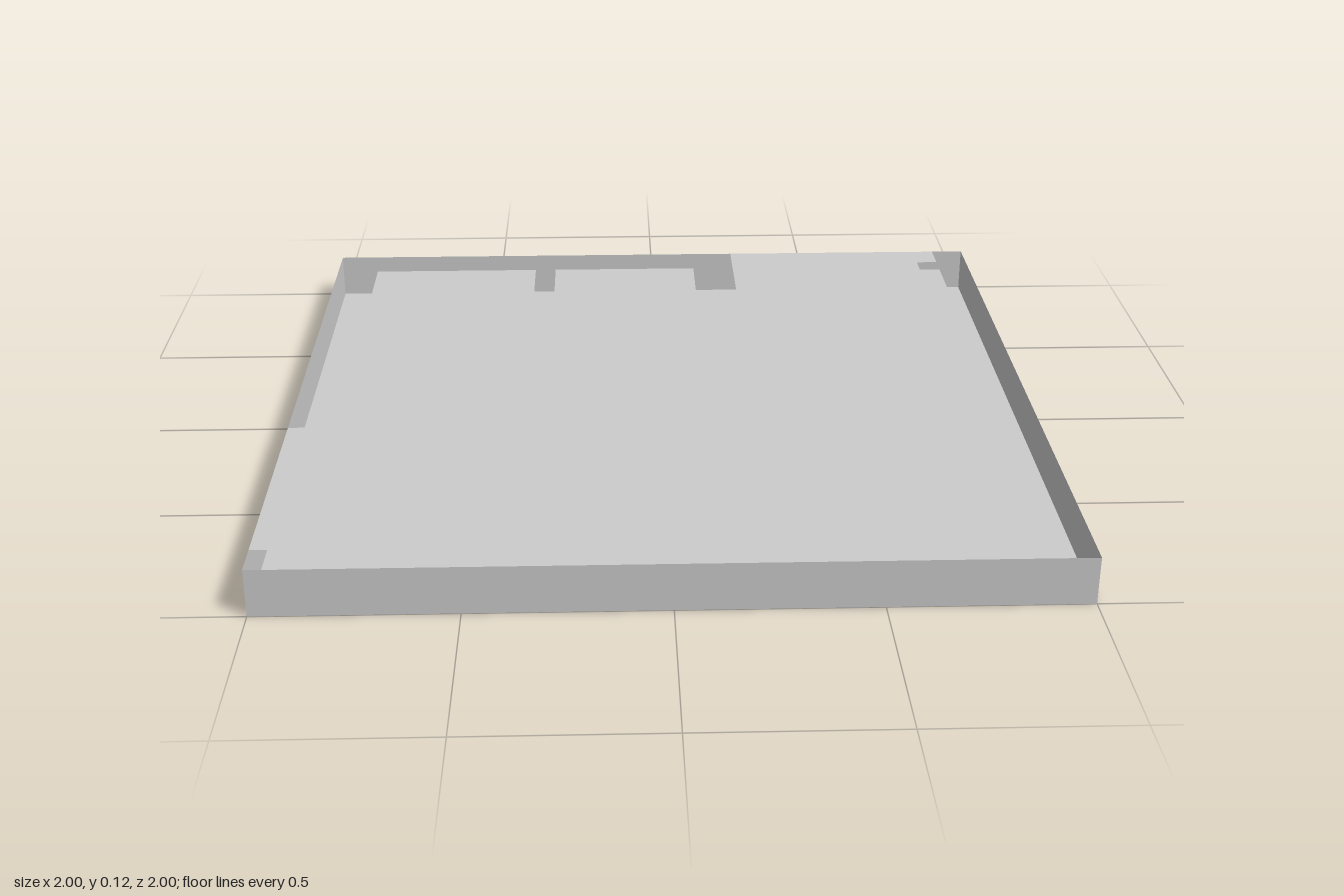
import * as THREE from 'three';

const H = 0.125; // height of the tile

export function createModel() {
  const model = new THREE.Group();
  const material = new THREE.MeshStandardMaterial({ color: 0xcccccc, side: THREE.DoubleSide });

  const addMesh = (name, geometry) => {
    const mesh = new THREE.Mesh(geometry, material);
    mesh.name = name;
    model.add(mesh);
    return mesh;
  };

  // Base sheet, facing down
  addMesh('base', new THREE.PlaneGeometry(2, 2).rotateX(Math.PI / 2));

  // Four thin outer sides
  ['frontSide', 'leftSide', 'backSide', 'rightSide'].forEach((name, i) => {
    addMesh(name, new THREE.PlaneGeometry(2, H).translate(0, H / 2, 1).rotateY(i * Math.PI / 2));
  });

  // Floor sheet as [x, z] corners; the slots for the walls are left open
  const a = 0.84375, b = 0.90625;
  const outline = [
    // outer border with corner notches
    [0.25, -1], [b, -1], [b, -b], [a, -b], [a, -a], [b, -a],
    [b, a], [a, a], [a, b],
    [-a, b], [-a, a], [-b, a], [-b, b], [-1, b],
    // first room, entered through its front doorway
    [-1, 0.25], [-0.6875, 0.25], [-0.6875, 0.125], [-0.875, 0.125],
    [-0.875, -0.875], [-0.375, -0.875], [-0.375, 0.125], [-0.4375, 0.125], [-0.4375, 0.25],
    // second room, entered through its side doorway
    [0.25, 0.25], [0.25, -0.4375], [0.125, -0.4375], [0.125, 0.125],
    [-0.3125, 0.125], [-0.3125, -0.875], [0.125, -0.875], [0.125, -0.6875], [0.25, -0.6875],
  ];
  const shape = new THREE.Shape(outline.map(([x, z]) => new THREE.Vector2(x, -z)));
  const floor = addMesh('floor', new THREE.ShapeGeometry(shape).rotateX(-Math.PI / 2));
  floor.position.y = H;

  return model;
}
